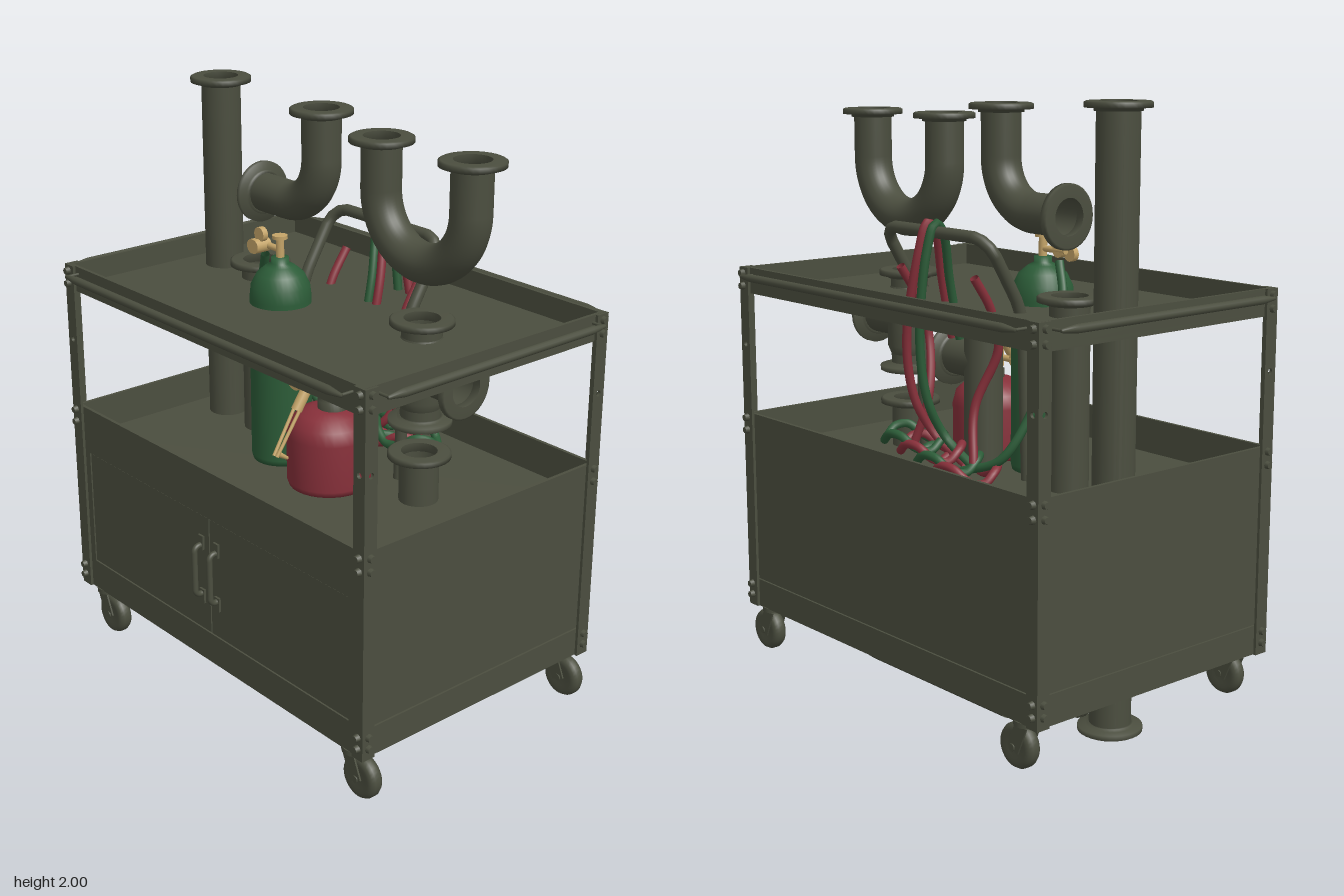
import * as THREE from 'three';

const mat = (name, color) => new THREE.MeshStandardMaterial({ name, color, side: THREE.DoubleSide });
const V = (x, y, z) => new THREE.Vector3(x, y, z);
const UP = V(0, 1, 0);

export function createModel() {
  const metal = mat('olive metal', 0x4b4e3f);
  const green = mat('green', 0x2c5c38);
  const red = mat('red', 0x87303a);
  const brass = mat('brass', 0xc4a468);
  const model = new THREE.Group();
  model.name = 'workshopCart';

  const add = (name, geo, m = metal, x = 0, y = 0, z = 0, parent = model) => {
    const mesh = new THREE.Mesh(geo, m);
    mesh.name = name;
    mesh.position.set(x, y, z);
    parent.add(mesh);
    return mesh;
  };
  // box given by its minimum and maximum corners
  const box = (name, a, b, m = metal) => add(name,
    new THREE.BoxGeometry(b[0] - a[0], b[1] - a[1], b[2] - a[2]), m,
    (a[0] + b[0]) / 2, (a[1] + b[1]) / 2, (a[2] + b[2]) / 2);
  // round bar between two points
  const rod = (name, a, b, r, m = metal, r2 = r, sides = 16) => {
    const p = V(...a), d = V(...b).sub(p);
    const mesh = add(name, new THREE.CylinderGeometry(r2, r, d.length(), sides), m);
    mesh.position.copy(p).addScaledVector(d, 0.5);
    mesh.quaternion.setFromUnitVectors(UP, d.normalize());
    return mesh;
  };
  const lathe = (name, pts, m, x, y, z, sides = 32) =>
    add(name, new THREE.LatheGeometry(pts.map(p => new THREE.Vector2(...p)), sides), m, x, y, z);
  // straight runs joined by circular bends
  const pipe = (name, pts, r, bend = 0, m = metal) => {
    const path = new THREE.CurvePath(), p = pts.map(q => V(...q));
    let last = p[0];
    const line = to => { if (last.distanceTo(to) > 1e-4) path.add(new THREE.LineCurve3(last, to)); last = to; };
    for (let i = 1; i < p.length - 1; i++) {
      const a = p[i].clone().addScaledVector(p[i - 1].clone().sub(p[i]).normalize(), bend);
      const b = p[i].clone().addScaledVector(p[i + 1].clone().sub(p[i]).normalize(), bend);
      line(a);
      path.add(new THREE.CubicBezierCurve3(a, a.clone().lerp(p[i], 0.552), b.clone().lerp(p[i], 0.552), b));
      last = b;
    }
    line(p[p.length - 1]);
    return add(name, new THREE.TubeGeometry(path, pts.length > 2 ? 64 : 1, r, 24), m);
  };
  const hose = (name, m, pts) => add(name, new THREE.TubeGeometry(
    new THREE.CatmullRomCurve3(pts.map(p => V(...p))), 70, 0.015, 10), m);
  const flange = (x, y, z, dir = [0, 1, 0]) => {
    const f = lathe('pipeFlange', [[0.06, 0], [0.06, -0.03], [0.075, -0.03], [0.075, -0.02],
      [0.105, -0.02], [0.105, -0.004], [0.098, 0], [0.06, 0]], metal, x, y, z);
    f.quaternion.setFromUnitVectors(UP, V(...dir));
  };

  // trays: floor with four thin walls
  const tray = (name, y0, y1, floor) => {
    const X = 0.765, Z = 0.505, t = 0.012;
    box(name + 'Floor', [-X, floor - t, -Z], [X, floor, Z]);
    for (const s of [-1, 1]) {
      add(name + 'Wall', new THREE.BoxGeometry(2 * X, y1 - y0, t), metal, 0, (y0 + y1) / 2, s * (Z - t / 2));
      add(name + 'Wall', new THREE.BoxGeometry(t, y1 - y0, 2 * Z), metal, s * (X - t / 2), (y0 + y1) / 2, 0);
    }
  };
  tray('topTray', 1.31, 1.4, 1.325);
  tray('middleTray', 0.73, 0.88, 0.76);
  tray('bottomTray', 0.17, 0.27, 0.185);

  // cabinet between the lower trays
  box('cabinetBody', [-0.758, 0.18, -0.498], [0.758, 0.755, 0.496]);
  for (const s of [-1, 1]) {
    box('doorFrameSide', [s * 0.73 - 0.03, 0.27, 0.49], [s * 0.73 + 0.03, 0.73, 0.505]);
    add('door', new THREE.BoxGeometry(0.694, 0.424, 0.012), metal, s * 0.35, 0.495, 0.496);
    const x = s * 0.041;
    pipe('doorHandle', [[x, 0.42, 0.5], [x, 0.42, 0.535], [x, 0.6, 0.535], [x, 0.6, 0.5]], 0.01, 0.02);
    for (const y of [0.41, 0.61]) box('handlePlate', [x - 0.013, y - 0.025, 0.5], [x + 0.013, y + 0.025, 0.51]);
  }
  box('doorFrameTop', [-0.7, 0.71, 0.49], [0.7, 0.73, 0.505]);
  box('doorFrameBottom', [-0.7, 0.268, 0.49], [0.7, 0.28, 0.505]);

  // angle-iron corner posts with a peg hole in each leg
  const leaf = new THREE.Shape([[0, 0.17], [0.05, 0.17], [0.05, 1.4], [0, 1.4]].map(p => new THREE.Vector2(...p)));
  leaf.holes.push(new THREE.Path().absarc(0.025, 1.13, 0.01, 0, Math.PI * 2, true));
  const leafGeo = new THREE.ExtrudeGeometry(leaf, { depth: 0.01, bevelEnabled: false });
  for (const sx of [-1, 1]) for (const sz of [-1, 1]) {
    add('cornerPost', leafGeo, metal, sx > 0 ? 0.727 : -0.777, 0, sz > 0 ? 0.505 : -0.515);
    add('cornerPost', leafGeo, metal, sx > 0 ? 0.767 : -0.777, 0, sz > 0 ? 0.515 : -0.465).rotation.y = Math.PI / 2;
    for (const y of [0.21, 0.25, 0.82, 0.865, 1.335, 1.38]) {
      rod('postBolt', [sx * 0.755, y, sz * 0.51], [sx * 0.755, y, sz * 0.53], 0.015, metal, 0.011, 8);
      rod('postBolt', [sx * 0.77, y, sz * 0.49], [sx * 0.79, y, sz * 0.49], 0.015, metal, 0.011, 8);
    }
    // casters, all trailing the same way
    const x = sx > 0 ? 0.725 : -0.645, z = sz * 0.465;
    rod('casterPlate', [x - 0.035, 0.155, z], [x - 0.035, 0.172, z], 0.045);
    for (const s of [-1, 1]) {
      const fork = add('casterFork', new THREE.BoxGeometry(0.05, 0.1, 0.006), metal, x - 0.02, 0.115, z + s * 0.029);
      fork.rotation.z = 0.4;
    }
    lathe('casterWheel', [[0, -0.022], [0.035, -0.022], [0.05, -0.025], [0.066, -0.022], [0.073, -0.01],
      [0.073, 0.01], [0.066, 0.022], [0.05, 0.025], [0.035, 0.022], [0, 0.022]], metal, x, 0.076, z).rotation.x = Math.PI / 2;
    rod('casterAxle', [x, 0.076, z - 0.036], [x, 0.076, z + 0.036], 0.012);
  }

  // push rails with pointed ends on all four sides
  const rail = (len, x, z, along) => {
    const r = lathe('pushRail', [[0, -len], [0.006, -len], [0.014, -len + 0.06], [0.014, len - 0.06],
      [0.006, len], [0, len]], metal, x, 1.375, z, 12);
    r.rotation[along === 'x' ? 'z' : 'x'] = Math.PI / 2;
    for (const s of [-1, 1]) {
      const e = s * (len - 0.005);
      if (along === 'x') rod('railBracket', [e, 1.375, z], [e, 1.375, Math.sign(z) * 0.5], 0.005);
      else rod('railBracket', [x, 1.375, e], [Math.sign(x) * 0.76, 1.375, e], 0.005);
    }
  };
  for (const s of [-1, 1]) { rail(0.715, 0, s * 0.55, 'x'); rail(0.46, s * 0.81, 0, 'z'); }

  // stored pipework
  const R = 0.066, PZ = -0.052;
  pipe('tallPipe', [[-0.615, 0, PZ], [-0.615, 2, PZ]], 0.068);
  flange(-0.615, 2, PZ);
  flange(-0.615, 0, PZ, [0, -1, 0]);
  pipe('shortPipe', [[-0.41, 0.76, PZ], [-0.41, 1.39, PZ]], R);
  flange(-0.41, 1.39, PZ);
  pipe('elbowPipe', [[-0.4, 1.635, PZ], [-0.08, 1.635, PZ], [-0.08, 1.975, PZ]], R, 0.17);
  flange(-0.405, 1.635, PZ, [-1, 0, 0]);
  flange(-0.08, 1.978, PZ);
  pipe('returnPipe', [[0.21, 1.935, PZ], [0.21, 1.57, PZ], [0.61, 1.57, PZ], [0.61, 1.935, PZ]], R, 0.2);
  flange(0.21, 1.938, PZ);
  flange(0.61, 1.938, PZ);
  pipe('teePipe', [[0.41, 1.03, PZ], [0.41, 1.39, PZ]], R);
  lathe('teeBody', [[R, 1.09], [0.078, 1.12], [0.078, 1.3], [R, 1.33]], metal, 0.41, 0, PZ);
  pipe('teeBranch', [[0.41, 1.21, PZ], [0.61, 1.21, PZ]], R);
  flange(0.41, 1.39, PZ);
  flange(0.41, 1.03, PZ, [0, -1, 0]);
  flange(0.615, 1.21, PZ, [1, 0, 0]);
  pipe('lowerPipe', [[0.41, 0.76, PZ], [0.41, 0.93, PZ]], R);
  flange(0.41, 0.933, PZ);
  pipe('middlePipe', [[0.01, 0.76, PZ], [0.01, 1.3, PZ]], R);
  pipe('middleBranch', [[0.01, 1.12, PZ], [0.17, 1.12, PZ]], R);
  flange(0.18, 1.12, PZ, [1, 0, 0]);

  // bottle trolley handle
  pipe('trolleyHandle', [[-0.265, 0.77, -0.1], [-0.265, 1.32, -0.12], [-0.265, 1.57, -0.27],
    [0.265, 1.57, -0.27], [0.265, 1.32, -0.12], [0.265, 0.77, -0.1]], 0.02, 0.07);

  // gas bottles
  lathe('greenBottle', [[0, 0.76], [0.1, 0.76], [0.105, 0.78], [0.105, 1.34], [0.1, 1.385], [0.08, 1.425],
    [0.05, 1.45], [0.03, 1.46], [0.03, 1.48], [0, 1.48]], green, -0.155, 0, 0.065);
  lathe('redBottle', [[0, 0.76], [0.135, 0.76], [0.142, 0.78], [0.142, 0.94], [0.13, 0.985], [0.1, 1.015],
    [0.06, 1.03], [0, 1.035]], red, 0.115, 0, 0.082);
  lathe('redBottleCollar', [[0.05, 1.02], [0.05, 1.06], [0.03, 1.07], [0.03, 1.12], [0, 1.12]], metal, 0.125, 0, 0.075);

  // valves, regulators and gauges
  const valve = (x, y, z, side) => {
    rod('valveStem', [x, y, z], [x, y + 0.075, z], 0.014, brass);
    rod('valveWheel', [x, y + 0.068, z], [x, y + 0.08, z], 0.026, brass);
    rod('regulatorArm', [x, y + 0.03, z], [x + side * 0.11, y + 0.03, z], 0.011, brass);
    rod('regulatorBody', [x + side * 0.08, y + 0.03, z - 0.01], [x + side * 0.08, y + 0.03, z + 0.05], 0.024, brass);
    for (const [dx, dy] of [[0.075, 0.07], [0.115, 0.02]])
      rod('gauge', [x + side * dx, y + dy, z + 0.01], [x + side * dx, y + dy, z + 0.03], 0.025, brass);
  };
  valve(-0.155, 1.475, 0.065, -1);
  valve(0.1, 1.07, 0.1, -1);

  // cutting torch leaning on the red bottle
  rod('torchHandle', [0.07, 1.17, 0.09], [0.07, 1.03, 0.185], 0.019, brass);
  for (const s of [-1, 1])
    rod('torchTube', [0.07 + s * 0.014, 1.03, 0.185], [0.07 + s * 0.008, 0.89, 0.275], 0.006, brass);
  rod('torchTip', [0.07, 0.9, 0.27], [0.07, 0.87, 0.225], 0.011, brass, 0.006);

  // hoses draped over the handle and coiled on the tray
  const drape = (name, m, x, dx) => hose(name, m, [[x + 0.05, 1.2, -0.13], [x + 0.04, 1.4, -0.18],
    [x, 1.57, -0.24], [x - 0.01, 1.6, -0.28], [x, 1.5, -0.31], [x + dx, 1.2, -0.315], [x + dx, 1, -0.28],
    [x + dx * 0.5, 0.88, -0.22], [x - 0.1, 0.8, -0.2]]);
  drape('greenHose', green, -0.01, 0.03);
  drape('redHose', red, 0.03, 0.06);
  hose('greenSupplyHose', green, [[-0.24, 1.47, 0.06], [-0.29, 1.36, 0.03], [-0.315, 1.2, -0.03],
    [-0.305, 1, -0.12], [-0.25, 0.85, -0.2], [-0.1, 0.79, -0.24]]);
  for (const s of [-1, 1])
    hose('redHangingHose', red, [[s * 0.19, 1.44, -0.26], [s * 0.19, 1.33, -0.19], [s * 0.18, 1.2, -0.15],
      [s * 0.12, 1.0, -0.2], [s * 0.16, 0.82, -0.24]]);
  for (let i = 0; i < 4; i++) {
    const pts = [];
    for (let k = 0; k <= 12; k++) {
      const a = k / 12 * Math.PI * 1.9 + i;
      pts.push([-0.12 + i * 0.09 + 0.13 * Math.cos(a), 0.8 + 0.02 * i + 0.025 * Math.sin(3 * a), -0.24 + 0.08 * Math.sin(a)]);
    }
    hose('coiledHose', i % 2 ? green : red, pts);
  }

  // exhaust parts and rack under the cart
  pipe('exhaustPipe', [[-0.4, 0.1, -0.28], [0.41, 0.1, -0.28], [0.41, 0.1, -0.08]], 0.065, 0.12);
  pipe('frontTube', [[-0.34, 0.04, -0.1], [-0.34, 0.04, 0.26], [0.34, 0.04, 0.26], [0.34, 0.04, -0.1]], 0.025, 0.08);
  for (const s of [-1, 1]) {
    const c = add('exhaustCanister', new THREE.CapsuleGeometry(0.05, 0.24, 6, 20), metal, s * 0.49, 0.075, 0);
    c.rotation.x = Math.PI / 2;
    c.scale.x = 1.5;
    for (const z of [-0.1, 0, 0.1]) rod('canisterBand', [s * 0.49, 0.075, z - 0.006], [s * 0.49, 0.075, z + 0.006], 0.056).scale.x = 1.4;
    rod('canisterNozzle', [s * 0.53, 0.075, 0], [s * 0.59, 0.08, 0], 0.03, metal, 0.018);
    box('canisterHanger', [s * 0.19 - 0.02, 0.13, 0.1], [s * 0.19 + 0.02, 0.172, 0.14]);
  }
  for (let i = -3; i <= 3; i++) box('rackBar', [i * 0.13 - 0.008, 0.01, -0.24], [i * 0.13 + 0.008, 0.025, 0.34]);
  for (const z of [-0.23, -0.08, 0.07, 0.2, 0.33]) box('rackRail', [-0.4, 0.012, z - 0.008], [0.4, 0.027, z + 0.008]);
  box('redPanel', [0.01, 0.06, 0.17], [0.21, 0.175, 0.215], red);

  return model;
}
